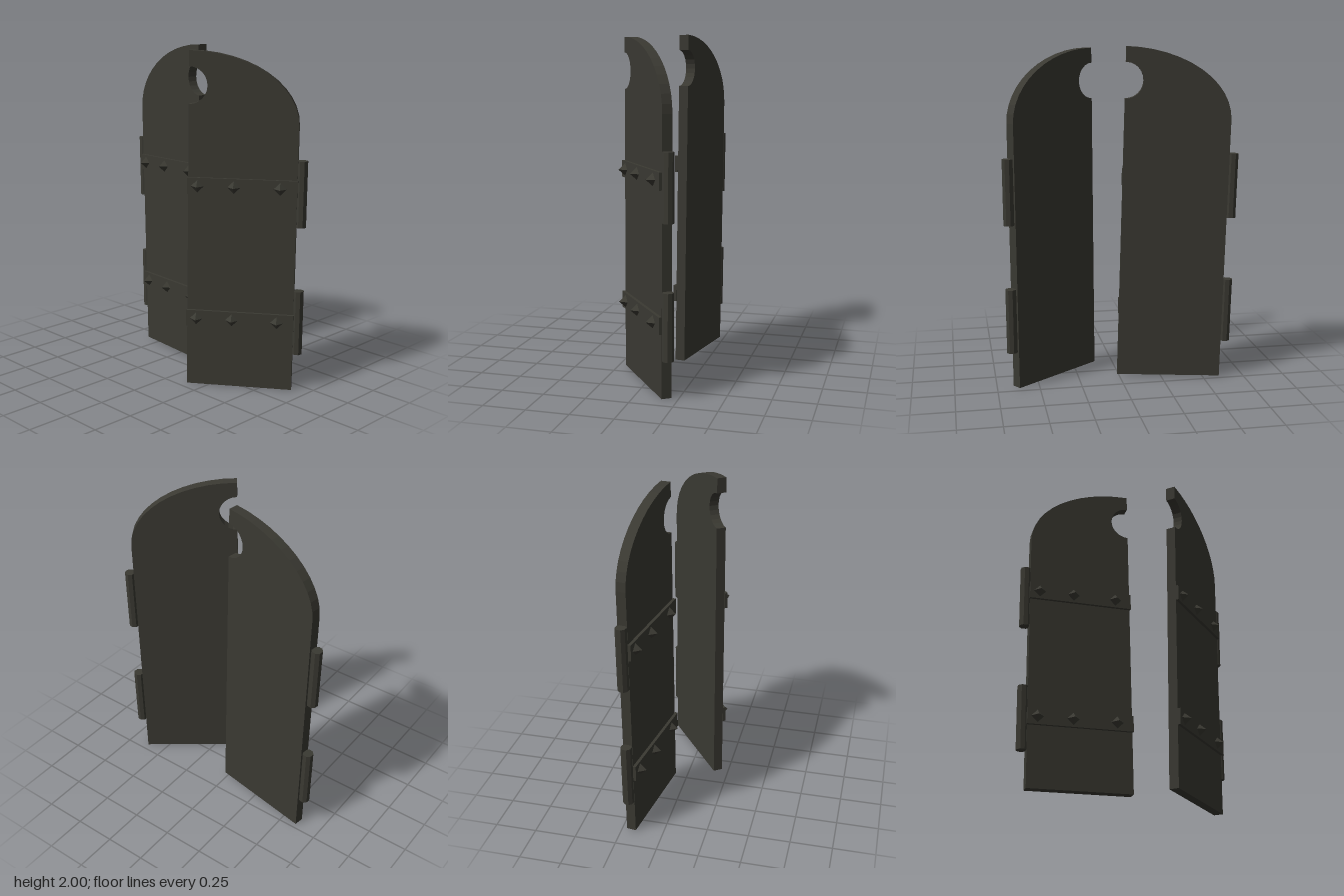
import * as THREE from 'three';

const W = 0.625, H = 1.98, T = 0.058; // panel width, height, thickness
const SPRING = 1.57;                  // height where the arch begins
const STRAP_T = 0.018;

const metal = new THREE.MeshStandardMaterial({ color: 0x3a3932 });
metal.name = 'dark weathered grey';

function add(parent, name, geometry, x, y, z) {
  const mesh = new THREE.Mesh(geometry, metal);
  mesh.name = name;
  mesh.position.set(x, y, z);
  parent.add(mesh);
}

// Give a geometry hard facets
function faceted(geometry) {
  const g = geometry.toNonIndexed();
  g.computeVertexNormals();
  return g;
}

// Half-arched panel with a round bite in its free edge
function panelGeometry(mirrored) {
  const pts = [[0, 0], [W, 0]];
  const biteY = 1.785, biteR = 0.106;
  for (let i = 0; i <= 12; i++) {
    const a = -Math.PI / 2 - (i / 12) * Math.PI;
    pts.push([W + Math.cos(a) * biteR, biteY + Math.sin(a) * biteR]);
  }
  for (let i = 0; i <= 12; i++) {
    const a = Math.PI / 2 + (i / 12) * Math.PI / 2;
    pts.push([W + Math.cos(a) * W, SPRING + Math.sin(a) * (H - SPRING)]);
  }
  const shape = new THREE.Shape(pts.map(([x, y]) => new THREE.Vector2(mirrored ? W - x : x, y)));
  return new THREE.ExtrudeGeometry(shape, { depth: T, bevelEnabled: false });
}

function shutter(name, hingeOnRight) {
  const group = new THREE.Group();
  group.name = name;
  add(group, 'panel', panelGeometry(hingeOnRight), 0, 0, 0);

  // Straps with pointed studs
  const stud = faceted(new THREE.ConeGeometry(0.037, 0.042, 4).rotateX(Math.PI / 2));
  for (const y of [0.418, 1.213]) {
    add(group, 'strap', new THREE.BoxGeometry(W + 0.008, 0.098, STRAP_T), W / 2, y, T + STRAP_T / 2);
    for (const x of [0.056, 0.266, 0.53]) add(group, 'stud', stud, x, y, T + STRAP_T + 0.021);
  }

  // Hinge barrels along the outer edge
  const barrel = faceted(new THREE.CylinderGeometry(0.033, 0.033, 0.385, 8).rotateY(Math.PI / 8));
  for (const y of [0.415, 1.18]) {
    add(group, 'hingeBarrel', barrel, hingeOnRight ? W + 0.024 : -0.024, y, 0.031);
  }
  return group;
}

export function createModel() {
  const model = new THREE.Group();
  model.name = 'pairOfShutters';

  // Slightly open, sagging shutter
  const right = shutter('rightShutter', false);
  right.position.set(-0.601, 0.004, -0.222);
  right.rotation.set(0, -0.149, 0.027, 'YXZ');

  // Wide open shutter
  const left = shutter('leftShutter', true);
  left.position.set(0.112, 0.006, 0.16);
  left.rotation.set(0, 0.628, -0.008, 'YXZ');

  model.add(right, left);
  return model;
}
